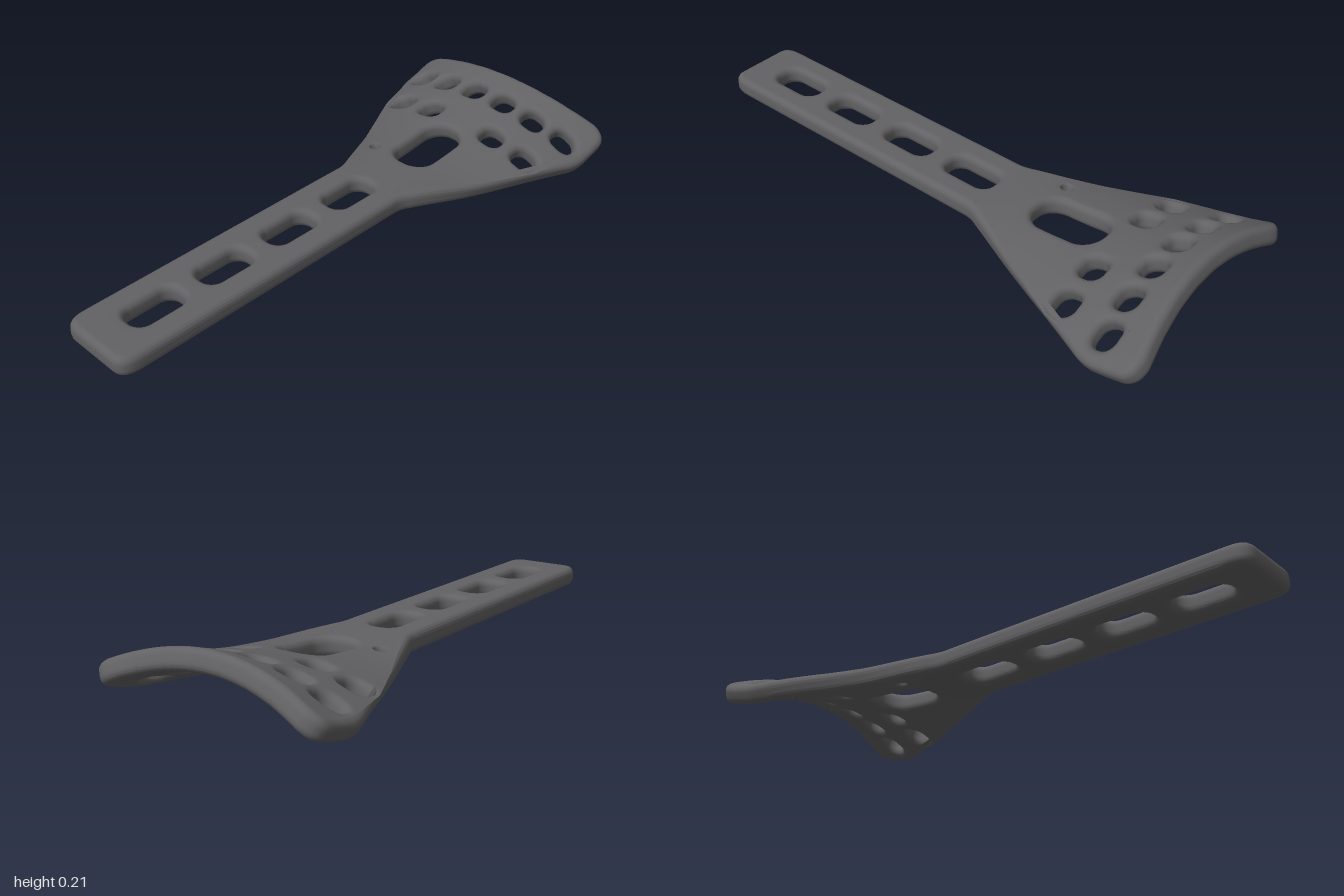
import * as THREE from 'three';
import { mergeVertices } from 'three/addons/utils/BufferGeometryUtils.js';

const HALF = 0.035; // half the plate thickness
const smallHoles = [[-0.955, 0], [0.355, 0.14]];
const SMALL_R = 0.018;

// Rounded rectangular hole centred on (cx, cy)
function slot(cx, cy, w, h, r) {
  const p = new THREE.Path(), a = w / 2 - r, b = h / 2 - r;
  p.absarc(cx + a, cy + b, r, 0, Math.PI / 2);
  p.absarc(cx - a, cy + b, r, Math.PI / 2, Math.PI);
  p.absarc(cx - a, cy - b, r, Math.PI, Math.PI * 1.5);
  p.absarc(cx + a, cy - b, r, Math.PI * 1.5, Math.PI * 2);
  return p;
}

// Flat outline: straight shaft widening into a fan
function plateShape() {
  const s = new THREE.Shape();
  s.moveTo(-1, -0.09);
  s.quadraticCurveTo(-1, -0.143, -0.93, -0.143);
  s.lineTo(0.15, -0.143);
  s.quadraticCurveTo(0.18, -0.143, 0.21, -0.158);
  s.lineTo(0.78, -0.394);
  s.quadraticCurveTo(0.82, -0.412, 0.86, -0.414);
  s.lineTo(0.95, -0.416);
  s.quadraticCurveTo(1, -0.416, 1, -0.36);
  s.quadraticCurveTo(0.915, 0, 1, 0.36);
  s.quadraticCurveTo(1, 0.416, 0.95, 0.416);
  s.lineTo(0.86, 0.414);
  s.quadraticCurveTo(0.82, 0.412, 0.78, 0.394);
  s.lineTo(0.21, 0.158);
  s.quadraticCurveTo(0.18, 0.143, 0.15, 0.143);
  s.lineTo(-0.93, 0.143);
  s.quadraticCurveTo(-1, 0.143, -1, 0.09);
  s.closePath();

  // Shaft slots and the large slot in the fan
  for (const x of [-0.77, -0.493, -0.213, 0.065]) s.holes.push(slot(x, 0, 0.195, 0.1, 0.042));
  s.holes.push(slot(0.478, 0, 0.265, 0.15, 0.068));
  // Two rows of fan holes
  for (const m of [-1, 1]) {
    for (const [x, y] of [[0.67, 0.14], [0.675, 0.28]]) s.holes.push(slot(x, m * y, 0.08, 0.085, 0.032));
    for (const [x, y] of [[0.832, 0.066], [0.836, 0.197], [0.852, 0.322]]) s.holes.push(slot(x, m * y, 0.075, 0.085, 0.032));
  }
  for (const [x, y] of smallHoles) s.holes.push(slot(x, y, SMALL_R * 2, SMALL_R * 2, SMALL_R - 0.001));
  return s;
}

// Halve the longest edge until every triangle is small enough to bend
function subdivide(geometry, limit) {
  const src = geometry.index ? geometry.toNonIndexed() : geometry;
  const p = src.attributes.position, out = [];
  const stack = [];
  for (let i = 0; i < p.count; i += 3) {
    stack.push([0, 1, 2].map((k) => new THREE.Vector3().fromBufferAttribute(p, i + k)));
  }
  while (stack.length) {
    const t = stack.pop();
    const len = t.map((v, k) => v.distanceTo(t[(k + 1) % 3]));
    const k = len.indexOf(Math.max(...len));
    if (len[k] <= limit) {
      for (const v of t) out.push(v.x, v.y, v.z);
      continue;
    }
    const a = t[k], b = t[(k + 1) % 3], c = t[(k + 2) % 3];
    const m = a.clone().add(b).multiplyScalar(0.5);
    stack.push([a, m, c], [m, b, c]);
  }
  const g = new THREE.BufferGeometry();
  g.setAttribute('position', new THREE.Float32BufferAttribute(out, 3));
  return g;
}

// Height of the middle surface: the fan arches across and sweeps up at its end
function height(x, z) {
  const rise = 0.25 * Math.pow(Math.max(0, x - 0.25), 2.2);
  const arch = 0.55 * THREE.MathUtils.smoothstep(x, 0.1, 0.45) + 0.16 * THREE.MathUtils.smoothstep(x, 0.6, 0.95);
  return 0.07 + rise - arch * z * z;
}

function bend(geometry) {
  const p = geometry.attributes.position, n = new THREE.Vector3(), e = 0.002;
  for (let i = 0; i < p.count; i++) {
    const x = p.getX(i), y = p.getY(i), z = p.getZ(i);
    n.set(-(height(x + e, z) - height(x - e, z)) / (2 * e), 1, -(height(x, z + e) - height(x, z - e)) / (2 * e)).normalize();
    p.setXYZ(i, x + n.x * y, height(x, z) + n.y * y, z + n.z * y);
  }
}

export function createModel() {
  const grey = new THREE.MeshStandardMaterial({ color: 0x626264 });
  grey.name = 'dark grey';

  const flat = new THREE.ExtrudeGeometry(plateShape(), {
    depth: 0.02, bevelEnabled: true, bevelThickness: HALF - 0.01,
    bevelSize: 0.022, bevelOffset: -0.022, bevelSegments: 4, curveSegments: 7,
  });
  flat.translate(0, 0, -0.01);

  // Tighten the rounding of the small pin holes
  const p = flat.attributes.position;
  for (let i = 0; i < p.count; i++) {
    for (const [cx, cy] of smallHoles) {
      const dx = p.getX(i) - cx, dy = p.getY(i) - cy, r = Math.hypot(dx, dy);
      if (r > 0.043) continue;
      const f = (SMALL_R + 0.3 * (r - SMALL_R)) / r;
      p.setXY(i, cx + dx * f, cy + dy * f);
    }
  }
  flat.rotateX(-Math.PI / 2);

  let plate = subdivide(flat, 0.05);
  plate = mergeVertices(plate, 1e-5);
  bend(plate);
  plate.computeVertexNormals();
  plate.computeBoundingBox();
  const b = plate.boundingBox;
  plate.translate(-(b.min.x + b.max.x) / 2, -b.min.y, 0);

  const mesh = new THREE.Mesh(plate, grey);
  mesh.name = 'perforatedPlate';
  const group = new THREE.Group();
  group.name = 'flaredPlate';
  group.add(mesh);
  return group;
}
